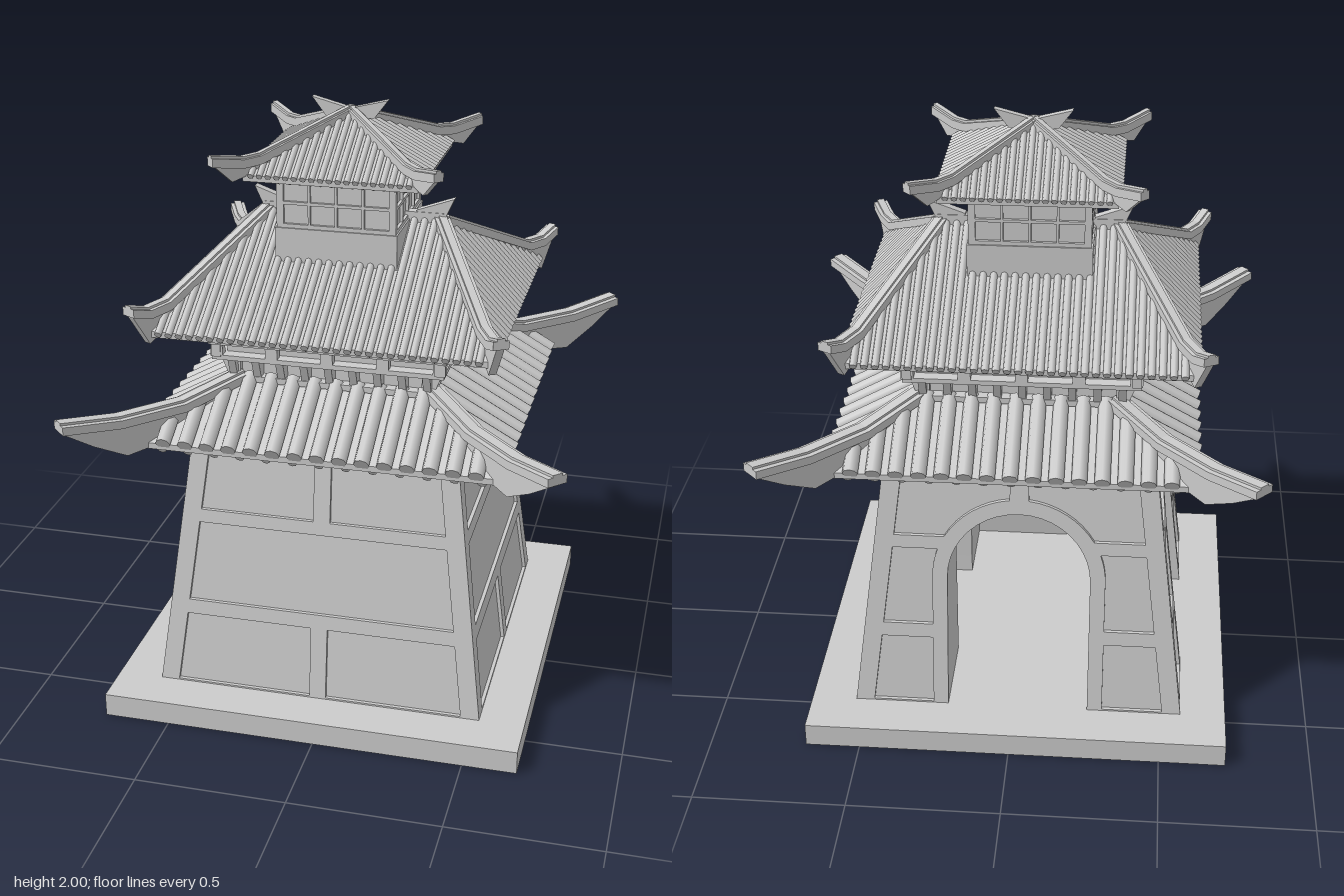
import * as THREE from 'three';
import { mergeGeometries } from 'three/addons/utils/BufferGeometryUtils.js';

const mat = new THREE.MeshStandardMaterial({ color: 0xcccccc, side: THREE.DoubleSide });
const V2 = (x, y) => new THREE.Vector2(x, y);
const shapeOf = (pts) => new THREE.Shape(pts.map(([x, y]) => V2(x, y)));

function add(parent, name, geometry) {
  const mesh = new THREE.Mesh(geometry, mat);
  mesh.name = name;
  parent.add(mesh);
  return mesh;
}

function group(parent, name, x = 0, z = 0) {
  const g = new THREE.Group();
  g.name = name;
  g.position.set(x, 0, z);
  parent.add(g);
  return g;
}

const box = (w, h, d, x, y, z) => new THREE.BoxGeometry(w, h, d).translate(x, y, z);

// Plate standing in the XY plane, centred on z = 0
const plate = (shape, depth) =>
  new THREE.ExtrudeGeometry(shape, { depth, bevelEnabled: false }).translate(0, 0, -depth / 2);

// Round bar between two points
function bar(p, q, r) {
  const d = new THREE.Vector3().subVectors(q, p);
  const g = new THREE.CylinderGeometry(r, r, d.length(), 8);
  g.applyQuaternion(new THREE.Quaternion().setFromUnitVectors(new THREE.Vector3(0, 1, 0), d.normalize()));
  return g.translate((p.x + q.x) / 2, (p.y + q.y) / 2, (p.z + q.z) / 2);
}

// Flat-sided skin through rectangular rings [halfX, halfZ, y]
function loft(rings) {
  const signs = [[1, 1], [1, -1], [-1, -1], [-1, 1]];
  const at = (r, i) => [signs[i % 4][0] * r[0], r[2], signs[i % 4][1] * r[1]];
  const pos = [];
  for (let k = 0; k < rings.length - 1; k++) {
    for (let i = 0; i < 4; i++) {
      const [a, b] = [at(rings[k], i), at(rings[k], i + 1)];
      const [c, d] = [at(rings[k + 1], i + 1), at(rings[k + 1], i)];
      pos.push(...a, ...b, ...c, ...a, ...c, ...d);
    }
  }
  const g = new THREE.BufferGeometry();
  g.setAttribute('position', new THREE.Float32BufferAttribute(pos, 3));
  g.computeVertexNormals();
  return g;
}

// Rows of round bars running down all four slopes, trimmed at the hips
function slopeBars(o, i, step, r, dy, over) {
  const out = [];
  for (let side = 0; side < 4; side++) {
    const along = side % 2, s = side < 2 ? 1 : -1;
    const a = o[along], b = i[along], d0 = o[1 - along], d1 = i[1 - along];
    const point = (t, f) => {
      const d = s * (d0 + (d1 - d0) * f), y = o[2] + (i[2] - o[2]) * f + dy;
      return along ? new THREE.Vector3(d, y, t) : new THREE.Vector3(t, y, d);
    };
    const n = Math.floor((a - 0.01) / step);
    for (let k = -n; k <= n; k++) {
      const t = k * step, f = Math.min(1, (a - Math.abs(t)) / (a - b));
      if (f > 0.04) out.push(bar(point(t, -over), point(t, f), r));
    }
  }
  return mergeGeometries(out);
}

// Hipped roof; ridge profiles are [fraction from top to eave corner, y]
function roof(parent, name, { x, z, o, i, step, r, width, top, under }) {
  const g = group(parent, name, x, z);
  const th = 0.02;
  add(g, 'roofSlab', loft([[i[0], i[1], i[2] - th], [o[0], o[1], o[2] - th], o, i]));
  add(g, 'roofTiles', slopeBars(o, i, step, r, r * 0.35, 0.03));
  add(g, 'rafters', slopeBars([o[0] - 0.02, o[1] - 0.02, o[2]], i, step * 1.2, r * 0.6, -th - r * 0.4, 0));
  const dx = o[0] - i[0], dz = o[1] - i[1], len = Math.hypot(dx, dz);
  const scaled = (pts, dy = 0) => pts.map(([u, y]) => [u * len, y + dy]);
  const fin = shapeOf([...scaled(top, -0.01), ...scaled(under)]);
  const cap = shapeOf([...scaled(top), ...scaled(top, -0.028).reverse()]);
  const rib = shapeOf([...scaled(top, 0.008), ...scaled(top, -0.01).reverse()]);
  for (const sx of [1, -1]) for (const sz of [1, -1]) {
    const hip = group(g, 'hipRidge', sx * i[0], sz * i[1]);
    hip.rotation.y = Math.atan2(-sz * dz, sx * dx);
    add(hip, 'hipFin', plate(fin, width * 0.5));
    add(hip, 'hipCap', plate(cap, width));
    add(hip, 'hipRib', plate(rib, width * 0.5));
  }
  return g;
}

// Tower wall measures
const Y0 = 0.08, Y1 = 0.98, W = 0.235, SPRING = 0.56;
const half = (y) => 0.55 - 0.124 * (y - Y0);
const arc = (r, a0, a1, n) => Array.from({ length: n + 1 }, (_, k) => {
  const a = a0 + ((a1 - a0) * k) / n;
  return [r * Math.cos(a), SPRING + r * Math.sin(a)];
});
const archLine = [[-W, Y0], ...arc(W, Math.PI, 0, 20), [W, Y0]];

// Wall sheet leaning inward with height
function leaningWall(open, inset, panels, depth, back) {
  const h = (y) => half(y) - inset;
  const shape = shapeOf([[-h(Y0), Y0], ...(open ? archLine : []), [h(Y0), Y0], [h(Y1), Y1], [-h(Y1), Y1]]);
  for (const p of panels) shape.holes.push(new THREE.Path(p.map(([x, y]) => V2(x, y))));
  const g = new THREE.ExtrudeGeometry(shape, { depth, bevelEnabled: false });
  const p = g.attributes.position;
  for (let k = 0; k < p.count; k++) p.setZ(k, p.getZ(k) - depth - back + half(p.getY(k)));
  g.computeVertexNormals();
  return g;
}

function wallPanels(open) {
  const edge = (y) => half(y) - 0.062;
  const rows = [[0.085, 0.33], [0.38, 0.66], [0.705, 0.9]];
  const list = [];
  rows.forEach(([a, b], k) => {
    if (!open && k === 1) {
      list.push([[-edge(a), a], [edge(a), a], [edge(b), b], [-edge(b), b]]);
      return;
    }
    let inner = [[0.028, b], [0.028, a]];
    const R = W + 0.05;
    if (open && k === 0) inner = [[R, b], [R, a]];
    if (open && k === 1) inner = [...arc(R, Math.asin((b - SPRING) / R), 0, 4), [R, a]];
    if (open && k === 2) inner = [[0.03, b], ...arc(R, 1.46, Math.asin((a - SPRING) / R), 8)];
    const right = [[edge(a), a], [edge(b), b], ...inner];
    list.push(right, right.map(([x, y]) => [-x, y]));
  });
  return list;
}

// Quarter of the crossing vault, from the groin out to the wall
function vaultArm() {
  const pos = [], idx = [];
  archLine.forEach(([x, y], k) => {
    pos.push(x, y, Math.abs(x), x, y, half(y) - 0.012);
    if (k) idx.push(2 * k - 2, 2 * k, 2 * k - 1, 2 * k - 1, 2 * k, 2 * k + 1);
  });
  const g = new THREE.BufferGeometry();
  g.setAttribute('position', new THREE.Float32BufferAttribute(pos, 3));
  g.setIndex(idx);
  g.computeVertexNormals();
  return g;
}

export function createModel() {
  const model = new THREE.Group();
  model.name = 'gateTower';
  add(model, 'base', box(1.4, 0.08, 1.4, -0.02, 0.04, -0.018));

  // Battered tower: blank front and +x walls, arched back and -x walls
  const tower = group(model, 'tower', -0.02, -0.015);
  for (let k = 0; k < 4; k++) {
    const side = group(tower, 'wall');
    side.rotation.y = (k * Math.PI) / 2;
    add(side, 'wallSheet', leaningWall(k > 1, 0.012, [], 0.03, 0.012));
    add(side, 'wallFrame', leaningWall(k > 1, 0, wallPanels(k > 1), 0.012, 0));
    add(side, 'vault', vaultArm());
  }

  roof(model, 'lowerRoof', {
    x: 0, z: 0, o: [0.58, 0.58, 0.99], i: [0.32, 0.32, 1.135], step: 0.072, r: 0.025, width: 0.07,
    top: [[0, 1.155], [0.6, 1.1], [1.2, 1.095], [1.74, 1.118]],
    under: [[1.7, 1.08], [1.45, 1.02], [1.15, 0.962], [0.8, 0.98], [0, 1.1]],
  });

  // Gallery storey between the lower and middle roofs
  const gallery = group(model, 'gallery', -0.02, 0);
  add(gallery, 'galleryCore', box(0.62, 0.4, 0.62, 0, 1.22, 0));
  for (const [h, y, t] of [[0.345, 1.14, 0.02], [0.38, 1.222, 0.016], [0.388, 1.28, 0.025], [0.34, 1.255, 0.06]]) {
    add(gallery, 'galleryBand', box(2 * h, t, 2 * h, 0, y, 0));
  }
  const bracket = shapeOf([[0.3, 1.14], [0.338, 1.14], [0.37, 1.22], [0.3, 1.22]]);
  for (let k = 0; k < 4; k++) {
    const side = group(gallery, 'gallerySide');
    side.rotation.y = (k * Math.PI) / 2;
    for (let n = -4; n <= 4; n++) {
      add(side, 'bracket', plate(bracket, 0.025).translate(0, 0, n * 0.08));
      if (n % 2 === 0) add(side, 'railPost', box(0.04, 0.05, 0.03, n * 0.091, 1.25, 0.365));
    }
  }

  const middle = roof(model, 'middleRoof', {
    x: -0.02, z: 0, o: [0.55, 0.5, 1.34], i: [0.29, 0, 1.615], step: 0.034, r: 0.012, width: 0.05,
    top: [[0, 1.63], [0.85, 1.42], [1, 1.415], [1.13, 1.438]],
    under: [[1.11, 1.4], [1.0, 1.3], [0.8, 1.36], [0, 1.58]],
  });
  add(middle, 'mainRidge', box(0.6, 0.04, 0.035, 0, 1.62, 0));

  // Lookout room with latticed windows
  const lookout = group(model, 'lookout', -0.032, 0.005);
  add(lookout, 'lookoutCore', box(0.37, 0.38, 0.37, 0, 1.63, 0));
  add(lookout, 'lookoutWall', box(0.4, 0.17, 0.4, 0, 1.53, 0));
  for (let k = 0; k < 4; k++) {
    const lattice = shapeOf([[-0.195, 1.61], [0.195, 1.61], [0.195, 1.815], [-0.195, 1.815]]);
    for (let c = 0; c < 4; c++) for (let r = 0; r < 2; r++) {
      const x = -0.172 + c * 0.088, y = 1.628 + r * 0.074;
      lattice.holes.push(new THREE.Path([V2(x, y), V2(x + 0.08, y), V2(x + 0.08, y + 0.064), V2(x, y + 0.064)]));
    }
    add(lookout, 'windowLattice', plate(lattice, 0.02).translate(0, 0, 0.185)).rotation.y = (k * Math.PI) / 2;
  }

  const upper = roof(model, 'topRoof', {
    x: -0.03, z: 0.005, o: [0.28, 0.28, 1.805], i: [0, 0, 1.955], step: 0.028, r: 0.01, width: 0.035,
    top: [[0, 1.97], [0.85, 1.862], [1, 1.858], [1.28, 1.876]],
    under: [[1.26, 1.85], [1.1, 1.79], [0.8, 1.82], [0, 1.92]],
  });

  // Upswept ridge horns
  for (const s of [1, -1]) {
    const turn = s > 0 ? 0 : Math.PI;
    add(middle, 'ridgeHorn', plate(shapeOf([[0.2, 1.59], [0.29, 1.59], [0.335, 1.69], [0.21, 1.645]]), 0.03)).rotation.y = turn;
    add(upper, 'topHorn', plate(shapeOf([[0, 1.93], [0.08, 1.94], [0.125, 2], [0, 1.968]]), 0.025)).rotation.y = turn;
  }
  return model;
}
